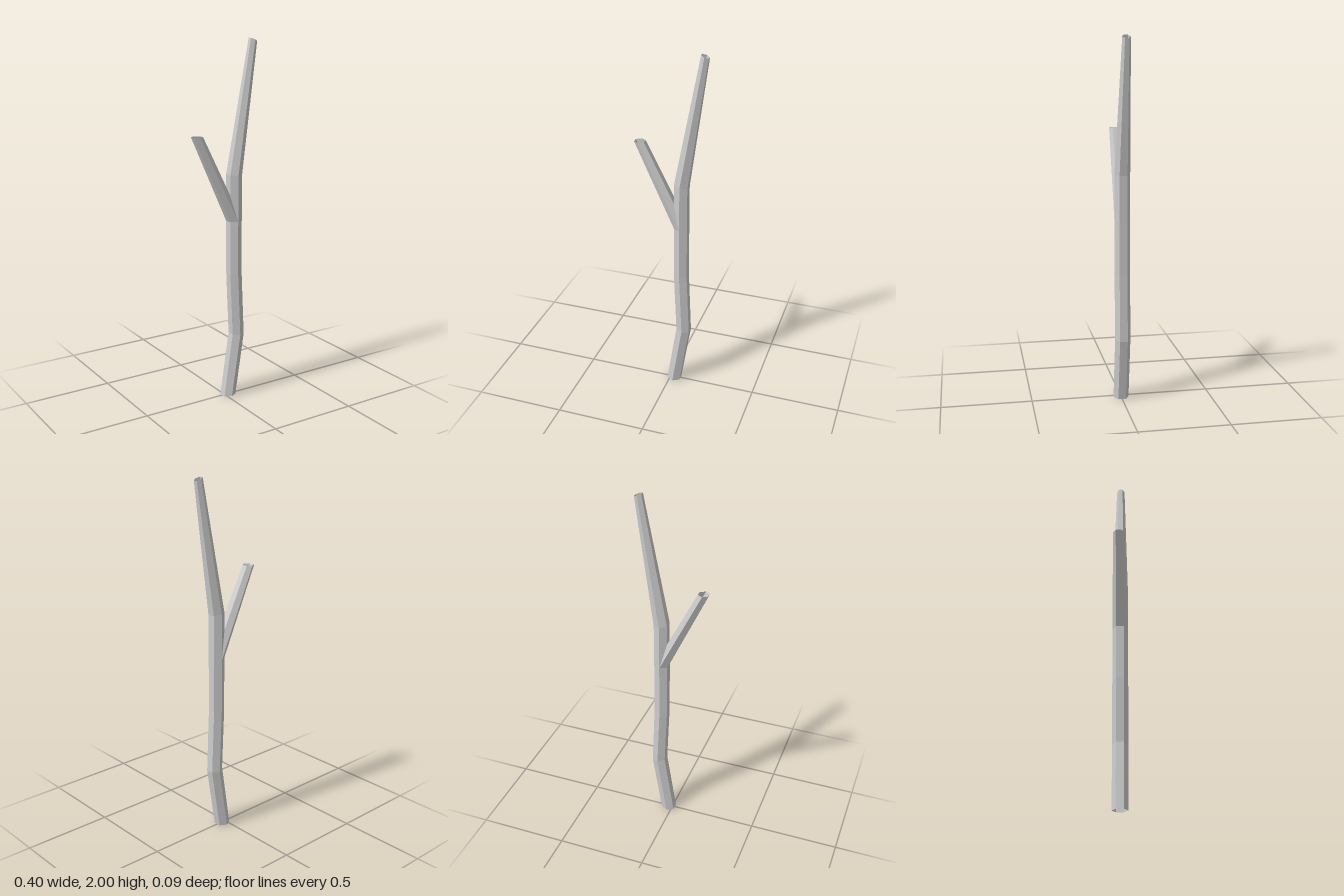
import * as THREE from 'three';

const SIDES = 6;

// Open faceted tube through rings of [x, y, radius, tilt]
function limb(name, rings, material) {
  const pos = [], index = [];
  for (const [x, y, r, tilt] of rings) {
    for (let i = 0; i < SIDES; i++) {
      const a = (i / SIDES) * Math.PI * 2;
      const dx = Math.sin(a) * r;
      pos.push(x + dx, y + dx * tilt, Math.cos(a) * r);
    }
  }
  for (let k = 0; k < rings.length - 1; k++) {
    for (let i = 0; i < SIDES; i++) {
      const j = (i + 1) % SIDES;
      const a = k * SIDES + i, b = k * SIDES + j;
      index.push(a, b, b + SIDES, a, b + SIDES, a + SIDES);
    }
  }
  const indexed = new THREE.BufferGeometry();
  indexed.setAttribute('position', new THREE.Float32BufferAttribute(pos, 3));
  indexed.setIndex(index);
  const geometry = indexed.toNonIndexed();
  geometry.computeVertexNormals();
  const mesh = new THREE.Mesh(geometry, material);
  mesh.name = name;
  return mesh;
}

export function createModel() {
  const group = new THREE.Group();
  group.name = 'branchedStick';
  const material = new THREE.MeshStandardMaterial({
    color: 0xcccccc, flatShading: true, side: THREE.DoubleSide,
  });

  // Crooked main stem, tapering above the fork
  group.add(limb('stem', [
    [0.023, 0, 0.043, 0],
    [0.078, 0.36, 0.043, -0.15],
    [0.062, 0.72, 0.043, 0],
    [0.061, 1.02, 0.043, 0],
    [0.061, 1.275, 0.043, -0.15],
    [0.178, 1.992, 0.0225, -0.4],
  ], material));

  // Side branch growing out of the stem
  group.add(limb('sideBranch', [
    [0.061, 1.02, 0.043, 0],
    [-0.171, 1.5, 0.032, 0],
  ], material));

  return group;
}
